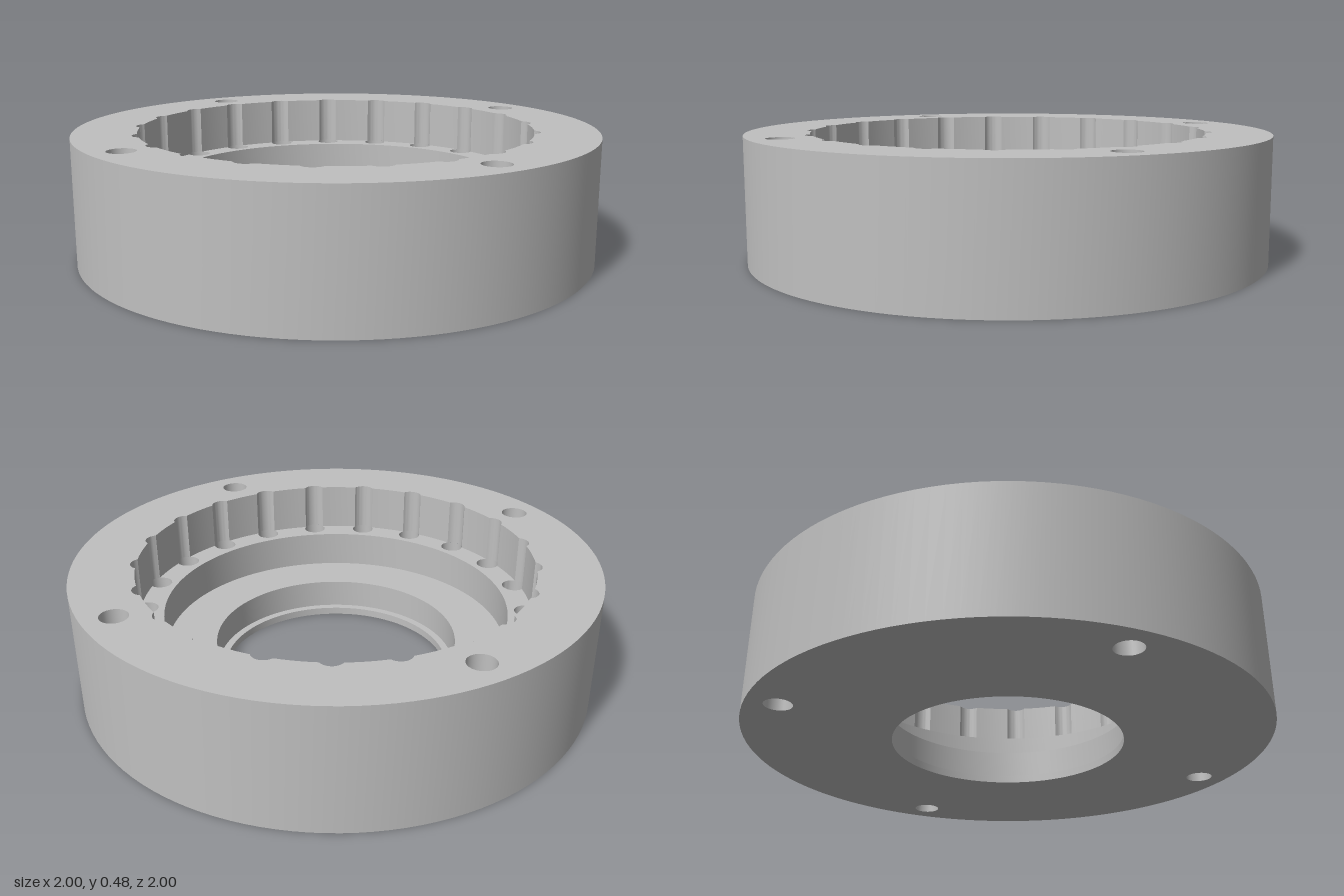
import * as THREE from 'three';
import { toCreasedNormals } from 'three/addons/utils/BufferGeometryUtils.js';

const TAU = Math.PI * 2;
const TOP = 0.48, FLOOR = 0.29, SEAT = 0.145, LIP = 0.03, PIN_BOTTOM = 0.2;
const OUTER_R = 1, POCKET_R = 0.758, STEP_R = 0.665, SEAT_R = 0.472, BORE_R = 0.443;
const PINS = 21, PIN_D = 0.735, PIN_R = 0.045;
const BOLT_AT = 0.625, BOLT_R = 0.052;

// Counter-clockwise circle of points
function circle(r, n = 120, cx = 0, cy = 0) {
  return Array.from({ length: n }, (_, i) =>
    new THREE.Vector2(cx + r * Math.cos(i / n * TAU), cy + r * Math.sin(i / n * TAU)));
}

// Pocket outline: arcs joined by pin arcs, bulging outward (grooves) or inward (floor bites)
function pocketOutline(outward) {
  const alpha = Math.acos((PIN_D ** 2 + POCKET_R ** 2 - PIN_R ** 2) / (2 * PIN_D * POCKET_R));
  const beta = Math.atan2(POCKET_R * Math.sin(alpha), POCKET_R * Math.cos(alpha) - PIN_D);
  const sweep = outward ? 2 * beta : 2 * beta - TAU;
  const pts = [], arcs = 14, step = TAU / PINS;
  for (let k = 0; k < PINS; k++) {
    const t = k * step;
    for (let i = 0; i < arcs; i++) {
      const a = t - beta + sweep * i / arcs;
      pts.push(new THREE.Vector2(
        PIN_D * Math.cos(t) + PIN_R * Math.cos(a), PIN_D * Math.sin(t) + PIN_R * Math.sin(a)));
    }
    for (let i = 0; i < 6; i++) {
      const a = t + alpha + (step - 2 * alpha) * i / 6;
      pts.push(new THREE.Vector2(POCKET_R * Math.cos(a), POCKET_R * Math.sin(a)));
    }
  }
  return pts;
}

export function createModel() {
  const group = new THREE.Group();
  const metal = new THREE.MeshStandardMaterial({ color: 0xc0c0c0 });
  metal.name = 'grey metal';

  function add(name, geometry) {
    const mesh = new THREE.Mesh(geometry, metal);
    mesh.name = name;
    group.add(mesh);
  }

  // Flat horizontal face with holes
  function face(name, outline, holes, y, up = true) {
    const shape = new THREE.Shape(outline);
    shape.holes = holes.map((h) => new THREE.Path(h));
    const g = new THREE.ShapeGeometry(shape);
    g.rotateX(up ? -Math.PI / 2 : Math.PI / 2);
    add(name, g.translate(0, y, 0));
  }

  // Vertical wall along a closed outline, facing inward or outward
  function wall(name, outline, y0, y1, inward = true) {
    const pos = [], index = [], n = outline.length;
    outline.forEach((p, i) => {
      pos.push(p.x, y0, -p.y, p.x, y1, -p.y);
      const a = 2 * i, b = 2 * ((i + 1) % n);
      if (inward) index.push(a, b + 1, b, a, a + 1, b + 1);
      else index.push(a, b, b + 1, a, b + 1, a + 1);
    });
    const g = new THREE.BufferGeometry();
    g.setAttribute('position', new THREE.Float32BufferAttribute(pos, 3));
    g.setIndex(index);
    add(name, toCreasedNormals(g, 0.55));
  }

  const bolts = [];
  for (const x of [-1, 1]) for (const z of [-1, 1])
    bolts.push(circle(BOLT_R, 32, x * BOLT_AT, z * BOLT_AT));
  const grooved = pocketOutline(true);

  // Outer body
  wall('outerWall', circle(OUTER_R), 0, TOP, false);
  face('topFace', circle(OUTER_R), [grooved, ...bolts], TOP);
  face('bottomFace', circle(OUTER_R), [circle(BORE_R), ...bolts], 0, false);
  bolts.forEach((b) => wall('boltHole', b, 0, TOP));

  // Stepped pocket, from the top down to the through bore
  wall('groovedPocketWall', grooved, FLOOR, TOP);
  face('pocketFloor', pocketOutline(false), [circle(STEP_R)], FLOOR);
  wall('stepWall', circle(STEP_R), SEAT, FLOOR);
  face('stepFloor', circle(STEP_R), [circle(SEAT_R)], SEAT);
  wall('bearingSeatWall', circle(SEAT_R), LIP, SEAT);
  face('bearingSeatLip', circle(SEAT_R), [circle(BORE_R)], LIP);
  wall('boreWall', circle(BORE_R), 0, LIP);

  // Blind pin sockets sunk into the pocket floor
  for (let k = 0; k < PINS; k++) {
    const t = k / PINS * TAU;
    const c = circle(PIN_R, 24, PIN_D * Math.cos(t), PIN_D * Math.sin(t));
    wall('pinSocketWall', c, PIN_BOTTOM, FLOOR);
    face('pinSocketBottom', c, [], PIN_BOTTOM);
  }
  return group;
}
